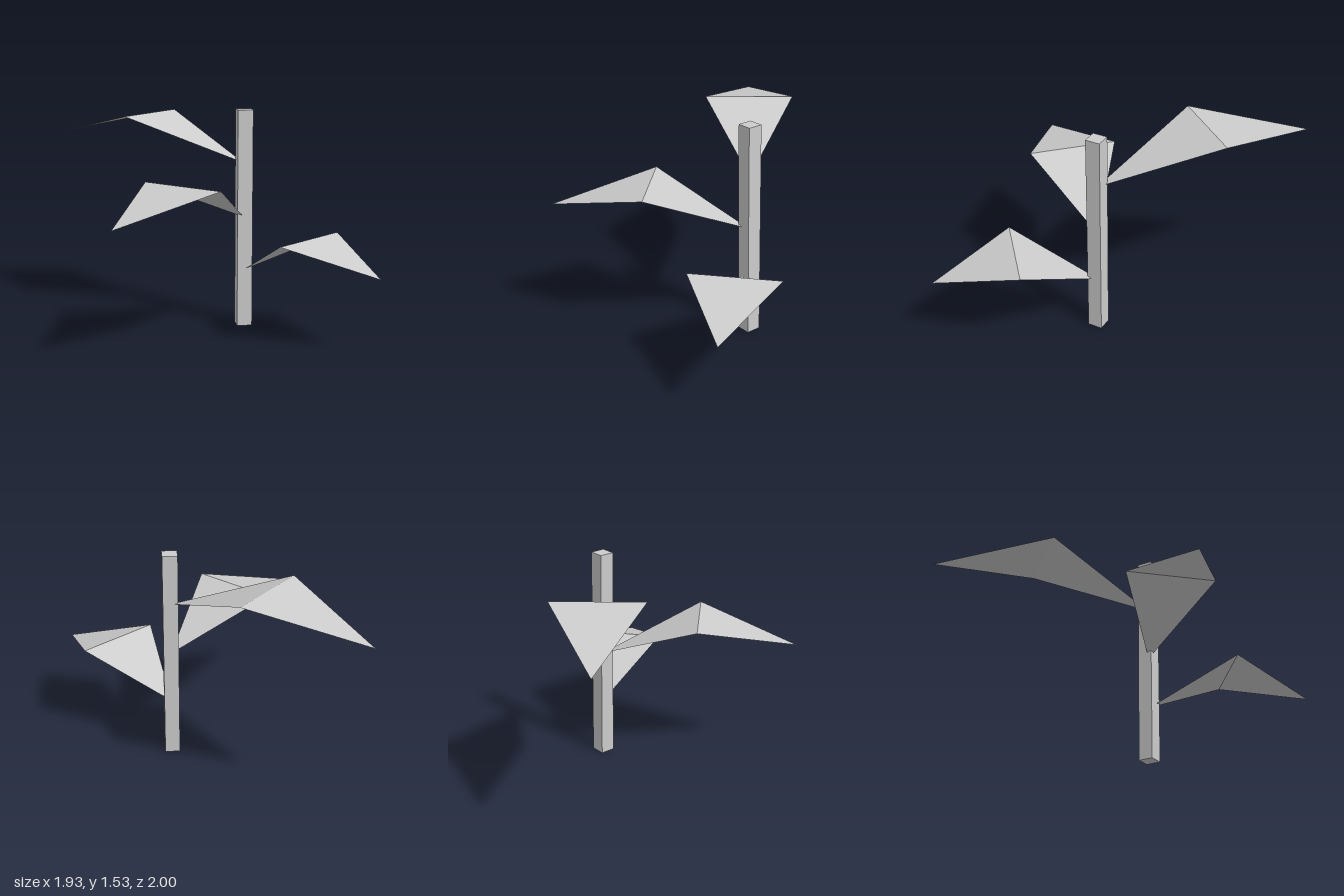
import * as THREE from 'three';

const STEM = { x: 0.233, z: 0.04, width: 0.106, height: 1.535 };

// A leaf is two triangles folded along the line between its side corners
function leafGeometry(baseY, sideA, sideB, tip) {
  const base = [STEM.x, baseY, STEM.z];
  const corners = [base, sideA, sideB, sideB, sideA, tip];
  const geometry = new THREE.BufferGeometry();
  geometry.setAttribute('position', new THREE.Float32BufferAttribute(corners.flat(), 3));
  geometry.computeVertexNormals();
  return geometry;
}

export function createModel() {
  const grey = new THREE.MeshStandardMaterial({
    name: 'plain grey', color: 0xcccccc, flatShading: true, side: THREE.DoubleSide,
  });
  const plant = new THREE.Group();
  plant.name = 'plant';

  // Square upright stem
  const stem = new THREE.Mesh(new THREE.BoxGeometry(STEM.width, STEM.height, STEM.width), grey);
  stem.name = 'stem';
  stem.position.set(STEM.x, STEM.height / 2, STEM.z);
  plant.add(stem);

  // Folded leaves, from the lowest up; corners run counter-clockwise from above
  const leaves = [
    ['lowerLeaf', 0.395, [0.355, 0.7, 0.69], [0.845, 0.7, 0.285], [0.965, 0.52, 0.935]],
    ['middleLeaf', 0.777, [-0.48, 1.085, 0.29], [-0.04, 1.085, 0.74], [-0.755, 0.905, 0.997]],
    ['upperLeaf', 1.16, [-0.165, 1.467, -0.72], [-0.575, 1.467, -0.24], [-0.967, 1.29, -1.0]],
  ];
  for (const [name, ...shape] of leaves) {
    const leaf = new THREE.Mesh(leafGeometry(...shape), grey);
    leaf.name = name;
    plant.add(leaf);
  }
  return plant;
}
